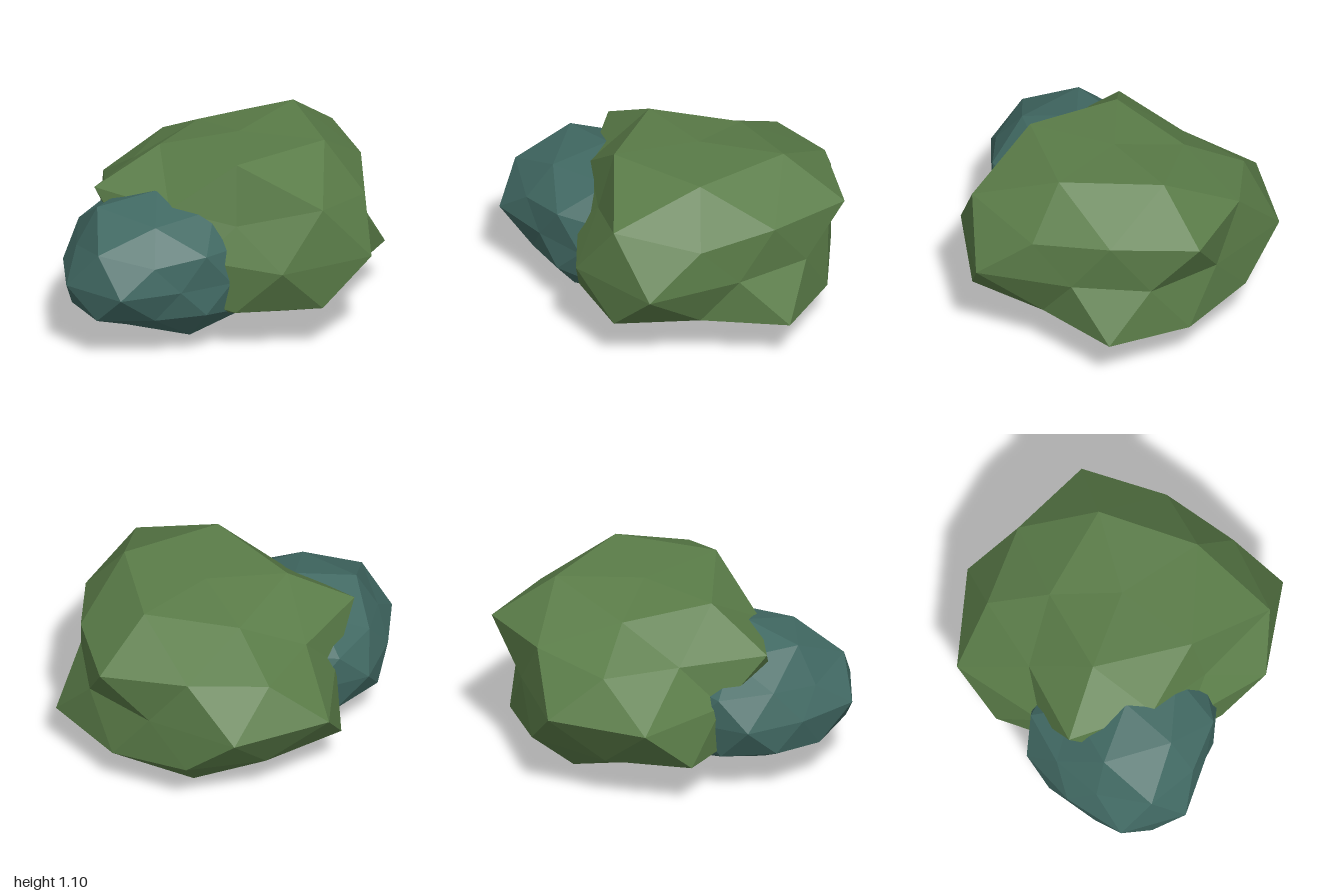
import * as THREE from 'three';

// Rings of a once-subdivided icosahedron standing on a corner:
// [height on the unit sphere, first angle in degrees, number of points]
const RINGS = {
  top: [1, 0, 1],
  upperSpoke: [0.851, 36, 5],
  upperEdge: [0.526, 72, 5],
  upperCorner: [0.447, 36, 5],
  equator: [0, 18, 10],
  lowerCorner: [-0.447, 0, 5],
  lowerEdge: [-0.526, 36, 5],
  lowerSpoke: [-0.851, 0, 5],
  bottom: [-1, 0, 1],
};
const SQUASH = 0.65;

// Faceted clump: every point of the sphere is pushed out to its own radius
function makeClump(name, color, center, radii) {
  const p = {};
  for (const [ring, [h, start, count]] of Object.entries(RINGS)) {
    const r = Math.sqrt(1 - h * h);
    p[ring] = radii[ring].map((n, i) => {
      const a = THREE.MathUtils.degToRad(start + (i * 360) / count);
      return [n * r * Math.cos(a), n * h * SQUASH, n * r * Math.sin(a)];
    });
  }

  const positions = [];
  // One large triangle split into four by its edge points
  const split = (a, b, c, ab, bc, ca) => {
    for (const v of [a, ab, ca, ab, b, bc, ca, bc, c, ab, bc, ca]) positions.push(...v);
  };
  const { upperSpoke: A, upperEdge: B, upperCorner: U, equator: E,
    lowerCorner: L, lowerEdge: M, lowerSpoke: D } = p;
  for (let k = 0; k < 5; k++) {
    const n = (k + 1) % 5;
    const e0 = E[2 * k], e1 = E[2 * k + 1], e2 = E[(2 * k + 2) % 10];
    split(p.top[0], U[n], U[k], A[n], B[k], A[k]);
    split(U[k], U[n], L[n], B[k], e2, e1);
    split(U[k], L[n], L[k], e1, M[k], e0);
    split(p.bottom[0], L[k], L[n], D[k], M[k], D[n]);
  }

  const geometry = new THREE.BufferGeometry();
  geometry.setAttribute('position', new THREE.Float32BufferAttribute(positions, 3));
  geometry.computeVertexNormals();
  const mesh = new THREE.Mesh(geometry, new THREE.MeshStandardMaterial({ color, flatShading: true }));
  mesh.name = name;
  mesh.position.set(...center);
  return mesh;
}

export function createModel() {
  const bush = new THREE.Group();
  bush.name = 'bush';

  // Large green clump
  bush.add(makeClump('largeFoliage', 0x5a7c48, [0.14, 0.56, 0.03], {
    top: [0.79],
    upperSpoke: [0.97, 0.96, 0.89, 0.78, 0.95],
    upperEdge: [0.98, 0.76, 0.74, 0.88, 0.84],
    upperCorner: [0.84, 0.67, 0.951, 0.85, 0.96],
    equator: [0.71, 0.94, 0.865, 0.68, 0.75, 0.74, 0.965, 0.93, 0.73, 0.74],
    lowerCorner: [0.957, 0.93, 0.78, 0.95, 0.88],
    lowerEdge: [0.77, 0.84, 0.8, 0.85, 0.89],
    lowerSpoke: [0.75, 0.8, 0.8, 0.8, 0.94],
    bottom: [0.86],
  }));

  // Small teal clump grown into its front corner
  bush.add(makeClump('smallFoliage', 0x416963, [-0.41, 0.45, 0.26], {
    top: [0.66],
    upperSpoke: [0.65, 0.62, 0.67, 0.58, 0.58],
    upperEdge: [0.58, 0.64, 0.55, 0.57, 0.55],
    upperCorner: [0.58, 0.54, 0.53, 0.6, 0.55],
    equator: [0.55, 0.53, 0.48, 0.61, 0.62, 0.53, 0.58, 0.55, 0.5, 0.5],
    lowerCorner: [0.55, 0.55, 0.62, 0.58, 0.55],
    lowerEdge: [0.63, 0.52, 0.587, 0.58, 0.5],
    lowerSpoke: [0.58, 0.62, 0.54, 0.54, 0.6],
    bottom: [0.646],
  }));

  return bush;
}
